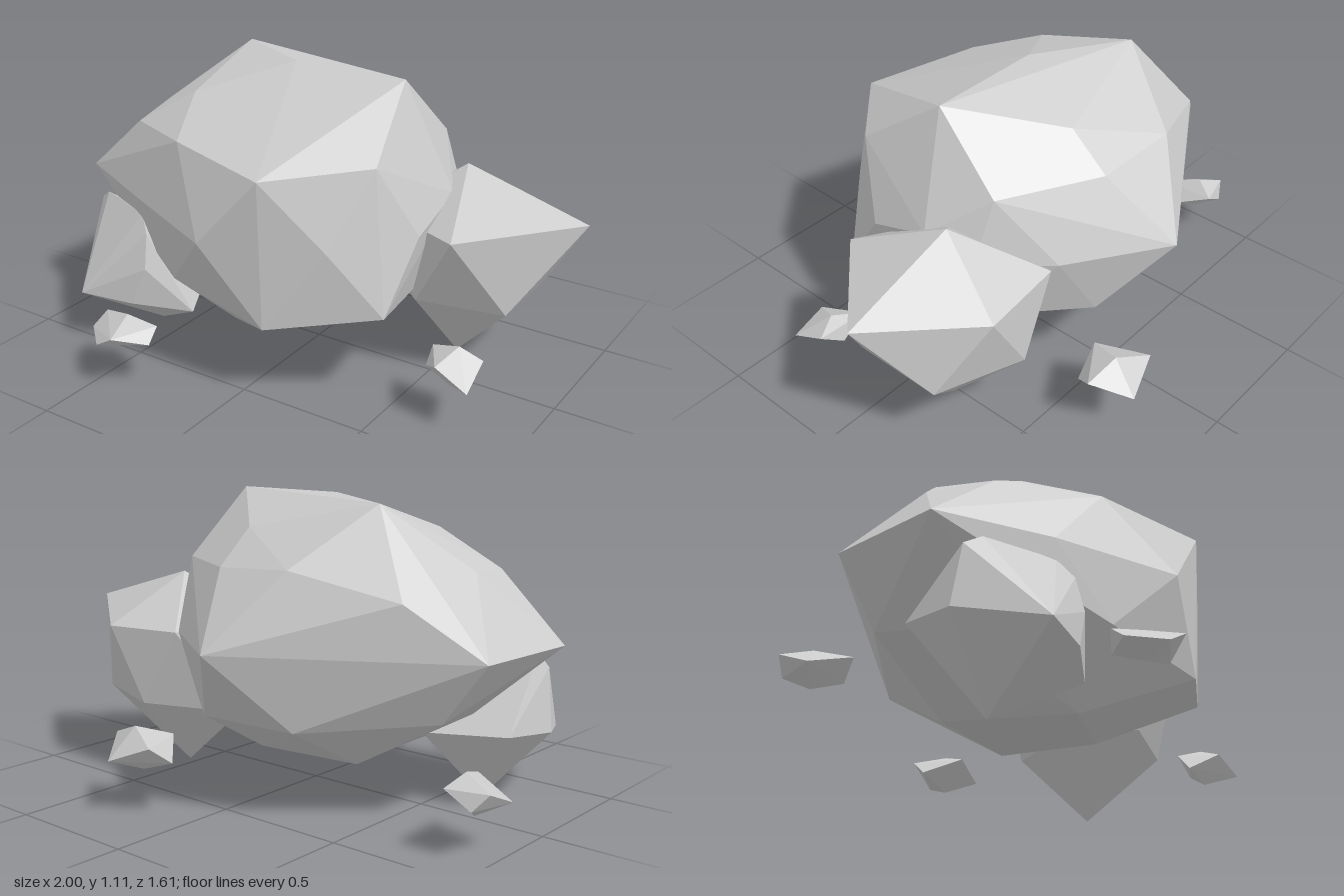
import * as THREE from 'three';
import { ConvexGeometry } from 'three/addons/geometries/ConvexGeometry.js';

const stone = new THREE.MeshStandardMaterial({ color: 0xcccccc });
stone.name = 'pale grey stone';

// Faceted rock spanned by its corner points
function rock(name, corners) {
  const points = corners.map((c) => new THREE.Vector3(...c));
  const mesh = new THREE.Mesh(new ConvexGeometry(points), stone);
  mesh.name = name;
  return mesh;
}

// Pebble from an [x, z] outline whose corners alternate around mid height, with a peak and a foot
function pebble(name, outline, bottom, top) {
  const mid = (bottom + top) / 2;
  const wave = (top - bottom) * 0.2;
  const ring = outline.map(([x, z], i) => [x, mid + (i % 2 ? wave : -wave), z]);
  const cx = outline.reduce((sum, p) => sum + p[0], 0) / outline.length;
  const cz = outline.reduce((sum, p) => sum + p[1], 0) / outline.length;
  return rock(name, [...ring, [cx + 0.02, top, cz - 0.02], [cx, bottom, cz]]);
}

export function createModel() {
  const group = new THREE.Group();
  group.name = 'rockCluster';

  group.add(rock('mainBoulder', [
    // crown
    [0.36, 1.11, 0], [-0.1, 1.11, 0], [-0.45, 1.1, -0.2],
    [0.02, 1.0, 0.27], [-0.42, 0.99, 0.2], [0.04, 1.0, -0.32],
    // shoulder
    [0.43, 0.89, 0.31], [0.14, 0.87, 0.59], [-0.3, 0.89, 0.46], [-0.65, 0.85, 0.26],
    [-0.71, 0.87, 0], [-0.66, 0.8, -0.35], [-0.29, 0.89, -0.49], [0.04, 0.87, -0.47],
    [0.39, 0.86, -0.27],
    // waist
    [0.53, 0.62, 0.18], [0.53, 0.7, -0.07], [0.48, 0.62, -0.25], [0.27, 0.61, -0.46],
    [-0.09, 0.61, -0.7], [-0.9, 0.61, -0.21], [-0.93, 0.61, 0.23], [-0.54, 0.62, 0.43],
    [-0.09, 0.61, 0.63], [0.335, 0.615, 0.47],
    // lower belt
    [0.5, 0.37, 0.36], [0.13, 0.31, 0.56], [-0.31, 0.37, 0.5], [-0.66, 0.35, 0.08],
    [-0.72, 0.38, -0.2], [-0.32, 0.34, -0.5], [0.1, 0.33, -0.5], [0.42, 0.36, -0.25],
    // underside
    [-0.2, 0.14, 0.28], [0.2, 0.19, 0.08], [0.05, 0.17, -0.25], [-0.36, 0.17, -0.2],
  ]));

  group.add(rock('leftRock', [
    [0.53, 0.78, -0.18], [1.0, 0.64, -0.19], [0.65, 0.62, 0.18], [0.63, 0.59, -0.48],
    [0.79, 0.31, 0], [0.79, 0.31, -0.35], [0.52, 0.01, -0.18],
    [0.48, 0.33, 0.1], [0.46, 0.31, -0.47], [0.24, 0.25, -0.18],
    [0.3, 0.6, -0.45], [0.3, 0.6, 0],
  ]));

  group.add(rock('rightRock', [
    [-0.84, 0.51, 0.29], [-0.78, 0.55, 0.32], [-0.52, 0.55, 0.42], [-0.47, 0.49, 0.46],
    [-0.46, 0.36, 0.49], [-0.73, 0.22, 0.56], [-0.52, 0.21, 0.51], [-0.87, 0.28, 0.27],
    [-0.43, 0.17, 0.4], [-0.32, 0.18, 0.39], [-0.62, 0.0, 0.22],
    [-0.83, 0.3, 0.05], [-0.5, 0.27, 0.0],
  ]));

  // Scattered pebbles
  group.add(
    pebble('rightPebble', [[-1, -0.2], [-1, -0.34], [-0.95, -0.37], [-0.85, -0.38],
      [-0.8, -0.24], [-0.84, -0.16]], 0.13, 0.28),
    pebble('frontPebble', [[-0.55, 0.69], [-0.53, 0.63], [-0.45, 0.58], [-0.29, 0.63],
      [-0.28, 0.69], [-0.36, 0.8], [-0.44, 0.79]], 0.15, 0.27),
    pebble('leftPebble', [[0.61, 0.25], [0.61, 0.2], [0.72, 0.19], [0.81, 0.21],
      [0.82, 0.35], [0.69, 0.34]], 0.13, 0.28),
    pebble('backPebble', [[0.08, -0.68], [0.11, -0.76], [0.27, -0.81], [0.37, -0.68],
      [0.32, -0.6], [0.19, -0.57]], 0.15, 0.31),
  );
  return group;
}
